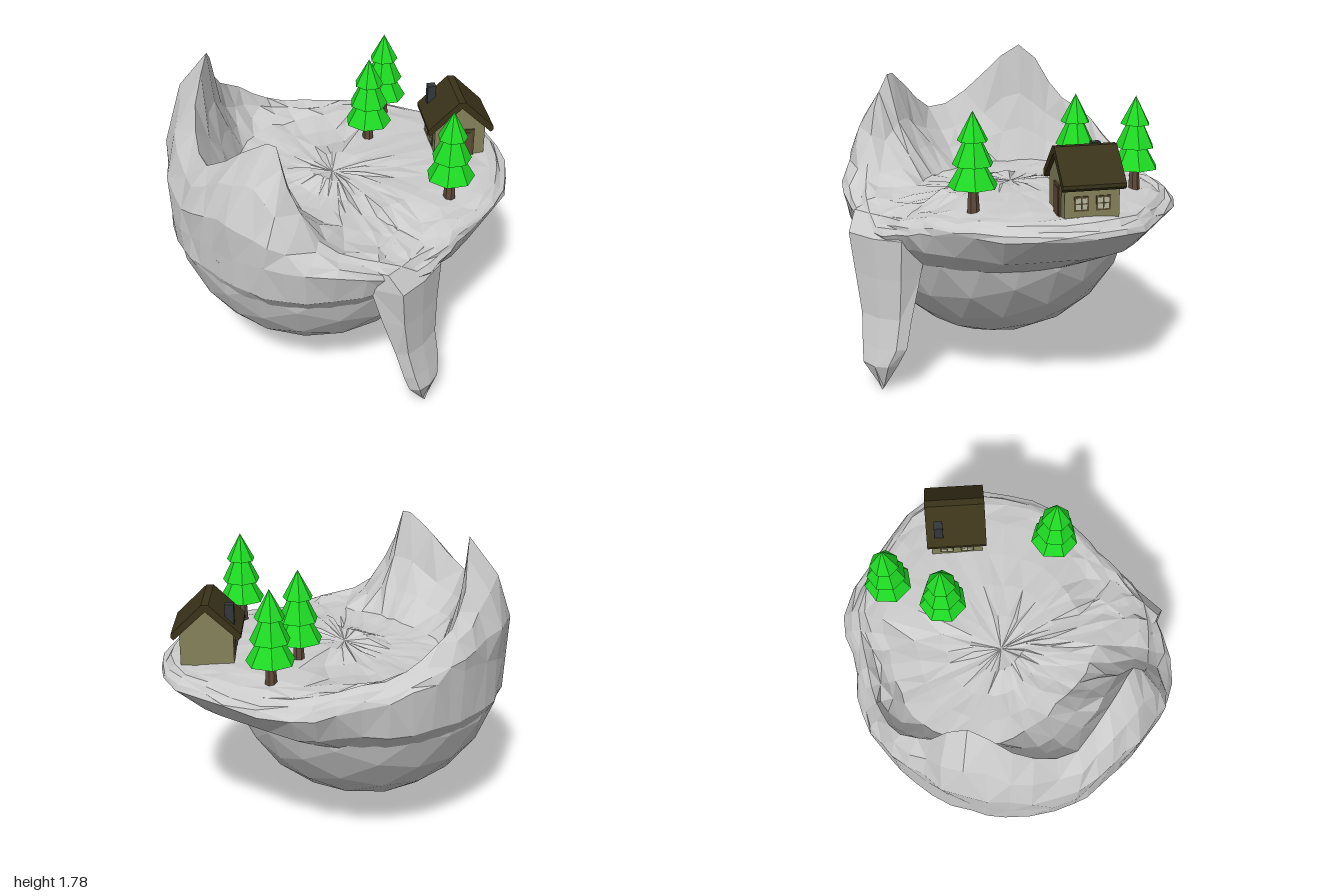
import * as THREE from 'three';

const V = (x, y, z) => new THREE.Vector3(x, y, z);
const mat = (color) => new THREE.MeshStandardMaterial({ color, flatShading: true, side: THREE.DoubleSide });
const rock = mat(0xcccccc), leaf = mat(0x1fdc24), bark = mat(0x5e4a3a), wall = mat(0x85825a);
const roofMat = mat(0x3a331a), wood = mat(0x57472c), glass = mat(0xb8b8a0), stone = mat(0x33373a);

let seed = 7;
const rand = () => ((seed = (seed * 16807) % 2147483647) / 2147483647) * 2 - 1;
const jitter = (p, a) => p.add(V(rand() * a, rand() * a, rand() * a));

function add(parent, name, geometry, material, x = 0, y = 0, z = 0) {
  const m = new THREE.Mesh(geometry, material);
  m.name = name;
  m.position.set(x, y, z);
  parent.add(m);
  return m;
}

// Faceted skin over closed rings of points
function loft(rings) {
  const pos = [];
  for (let i = 0; i < rings.length - 1; i++) {
    const lo = rings[i], hi = rings[i + 1], n = lo.length;
    for (let j = 0; j < n; j++) {
      const k = (j + 1) % n, a = lo[j], b = lo[k], c = hi[k], d = hi[j];
      const tris = (i + j) % 2 ? [a, d, b, b, d, c] : [a, d, c, a, c, b];
      tris.forEach((p) => pos.push(p.x, p.y, p.z));
    }
  }
  const g = new THREE.BufferGeometry();
  g.setAttribute('position', new THREE.Float32BufferAttribute(pos, 3));
  g.computeVertexNormals();
  return g;
}

// Control loops: widest outline, rim crest and foot of the inner slope
const OUTER = [
  [0.88, 0.96, -0.05], [0.87, 0.92, 0.15], [0.85, 0.9, 0.36], [0.76, 0.95, 0.55], [0.52, 1.05, 0.86],
  [0.25, 1.04, 0.98], [0, 1, 0.97], [-0.2, 1, 0.95], [-0.42, 0.98, 0.9], [-0.68, 1, 0.7],
  [-0.82, 1.05, 0.5], [-0.91, 1.12, 0.2], [-0.92, 1.15, -0.05], [-0.84, 1.08, -0.32], [-0.62, 1, -0.58],
  [-0.46, 0.97, -0.84], [0, 0.97, -0.97], [0.4, 0.99, -0.98], [0.7, 0.99, -0.74], [0.88, 0.98, -0.38]];
const CREST = [
  [0.84, 1.03, -0.05], [0.82, 0.99, 0.15], [0.78, 0.98, 0.36], [0.68, 1.03, 0.55], [0.48, 1.12, 0.7],
  [0.28, 1.46, 0.78], [0.17, 1.67, 0.76], [0, 1.57, 0.78], [-0.3, 1.38, 0.78], [-0.52, 1.52, 0.6],
  [-0.66, 1.77, 0.35], [-0.78, 1.48, 0.15], [-0.83, 1.32, -0.07], [-0.74, 1.17, -0.28], [-0.58, 1.1, -0.52],
  [-0.4, 1.06, -0.76], [0, 1.05, -0.9], [0.38, 1.06, -0.92], [0.66, 1.06, -0.7], [0.83, 1.05, -0.36]];
const FOOT = [
  [0.7, 1.05, -0.05], [0.65, 1.03, 0.13], [0.6, 1.02, 0.28], [0.5, 1.04, 0.36], [0.38, 1.05, 0.42],
  [0.25, 1.05, 0.46], [0.1, 1.05, 0.49], [-0.05, 1.05, 0.48], [-0.25, 1.05, 0.47], [-0.42, 1.05, 0.4],
  [-0.54, 1.05, 0.28], [-0.63, 1.05, 0.1], [-0.66, 1.06, -0.08], [-0.6, 1.06, -0.25], [-0.48, 1.07, -0.43],
  [-0.35, 1.08, -0.62], [0, 1.08, -0.7], [0.3, 1.08, -0.72], [0.52, 1.08, -0.55], [0.68, 1.07, -0.3]];

function buildIsland(group) {
  const C = V(-0.06, 0.94, 0.15), R = 0.82, N = 48;
  // Bowl: faceted sphere with its top flattened under the ground
  const bowl = new THREE.IcosahedronGeometry(R, 3);
  const p = bowl.attributes.position;
  for (let i = 0; i < p.count; i++) p.setY(i, Math.min(p.getY(i), 0.01));
  bowl.computeVertexNormals();
  add(group, 'rockBowl', bowl, rock, C.x, C.y, C.z);

  // Overhanging lip, cliff wall, inner slope and ground
  const loop = (pts) => {
    const curve = new THREE.CatmullRomCurve3(pts.map((q) => V(...q)), true);
    return Array.from({ length: N }, (_, i) => curve.getPoint(i / N));
  };
  const outer = loop(OUTER), crest = loop(CREST), foot = loop(FOOT);
  const out = outer.map((q) => V(q.x - C.x, 0, q.z - C.z).normalize());
  const onBowl = (i, y, s) => C.clone().setY(y).addScaledVector(out[i], s * Math.sqrt(R * R - (y - C.y) ** 2));
  const ring = (f, a) => outer.map((_, i) => jitter(f(i), a));
  const rise = (t) => ring((i) => outer[i].clone().lerp(crest[i], t)
    .addScaledVector(out[i], Math.sin(Math.PI * t) * 0.15 * (crest[i].y - outer[i].y)), 0.014);
  const descend = (t) => ring((i) => {
    const q = crest[i].clone().lerp(foot[i], t);
    return q.setY(THREE.MathUtils.lerp(crest[i].y, foot[i].y, t ** 0.6));
  }, 0.016);
  const ground = (t) => ring((i) => {
    const q = foot[i].clone().lerp(V(-0.02, 1.06, 0.02), t);
    const land = q.z < 0.2 && (q.x > -0.15 || q.z < -0.45);
    return q.setY(land ? 1.085 : 1.045);
  }, 0.008);
  add(group, 'rockRim', loft([
    ring((i) => onBowl(i, 0.7, 0.97), 0),
    ring((i) => onBowl(i, 0.83, 1).lerp(outer[i].clone().setY(0.83), 0.6), 0.01),
    ring((i) => outer[i].clone(), 0.01),
    rise(0.35), rise(0.7),
    ring((i) => crest[i].clone(), 0.008),
    descend(0.25), descend(0.6),
    ring((i) => foot[i].clone(), 0.01),
    ground(0.25), ground(0.5), ground(0.75),
    outer.map(() => V(-0.02, 1.06, 0.02)),
  ]), rock);

  // Waterfall: [height, near z, far z, inner x, outer x], from the tip up
  const fall = [
    [0, 0.31, 0.33, 0.88, 0.885], [0.15, 0.22, 0.45, 0.86, 0.925], [0.25, 0.17, 0.48, 0.84, 0.9],
    [0.42, 0.16, 0.51, 0.8, 0.865], [0.65, 0.14, 0.56, 0.74, 0.86], [0.88, 0.12, 0.6, 0.68, 0.865],
    [0.99, 0.15, 0.62, 0.58, 0.78], [1.03, 0.2, 0.58, 0.5, 0.62], [1.0, 0.36, 0.38, 0.5, 0.52],
  ].map(([y, z0, z1, xi, xo]) => {
    const e = (z1 - z0) * 0.12;
    return [V(xo - 0.01, y, z0 + e), V(xo, y - 0.01, (z0 + z1) / 2), V(xo - 0.01, y, z1 - e), V(xi, y, z1), V(xi, y, z0)];
  });
  add(group, 'waterfall', loft(fall), rock);
}

function buildTree(group, x, z) {
  const tree = new THREE.Group();
  tree.name = 'tree';
  tree.position.set(x, 0, z);
  add(tree, 'trunk', new THREE.CylinderGeometry(0.025, 0.036, 0.2, 7), bark, 0, 1.14, 0);
  // Foliage tiers: [base height, base radius, top radius, height]
  for (const [y, r, top, h] of [[1.2, 0.138, 0.05, 0.15], [1.32, 0.113, 0.04, 0.15], [1.45, 0.085, 0, 0.16]]) {
    add(tree, 'foliage', new THREE.CylinderGeometry(top, r, h, 7), leaf, 0, y + h / 2, 0).rotation.y = Math.PI;
  }
  group.add(tree);
}

function buildHouse(group) {
  const house = new THREE.Group();
  house.name = 'house';
  house.position.set(0.37, 1.05, -0.68);
  house.rotation.y = Math.PI / 4;
  // Walls with gables
  const w = 0.15, prism = (pts, depth) => {
    const s = new THREE.Shape(pts.map(([x, y]) => new THREE.Vector2(x, y)));
    return new THREE.ExtrudeGeometry(s, { depth, bevelEnabled: false }).translate(0, 0, -depth / 2);
  };
  add(house, 'walls', prism([[-w, 0], [w, 0], [w, 0.21], [0, 0.35], [-w, 0.21]], 0.3), wall);
  // Roof with thick overhanging slopes
  add(house, 'roof', prism([[-0.195, 0.19], [-0.18, 0.175], [0, 0.342], [0.18, 0.175], [0.195, 0.19],
    [0.195, 0.21], [0.02, 0.38], [-0.02, 0.38], [-0.195, 0.21]], 0.345), roofMat);
  add(house, 'chimney', new THREE.BoxGeometry(0.05, 0.13, 0.05), stone, -0.13, 0.3, -0.1);
  // Door in its frame
  add(house, 'doorFrame', new THREE.BoxGeometry(0.11, 0.19, 0.02), wood, 0.03, 0.095, 0.152);
  add(house, 'door', new THREE.BoxGeometry(0.08, 0.17, 0.02), bark, 0.03, 0.088, 0.156);
  // Paned windows on both long walls
  for (const side of [-1, 1]) for (const z of [-0.06, 0.06]) {
    const x = side * w;
    add(house, 'windowFrame', new THREE.BoxGeometry(0.012, 0.08, 0.08), wood, x, 0.1, z);
    for (const dy of [-0.017, 0.017]) for (const dz of [-0.017, 0.017]) {
      add(house, 'windowPane', new THREE.BoxGeometry(0.016, 0.027, 0.027), glass, x, 0.1 + dy, z + dz);
    }
  }
  group.add(house);
}

export function createModel() {
  seed = 7;
  const group = new THREE.Group();
  group.name = 'floatingIsland';
  buildIsland(group);
  for (const [x, z] of [[-0.18, -0.71], [-0.06, -0.39], [0.67, -0.17]]) buildTree(group, x, z);
  buildHouse(group);
  return group;
}
